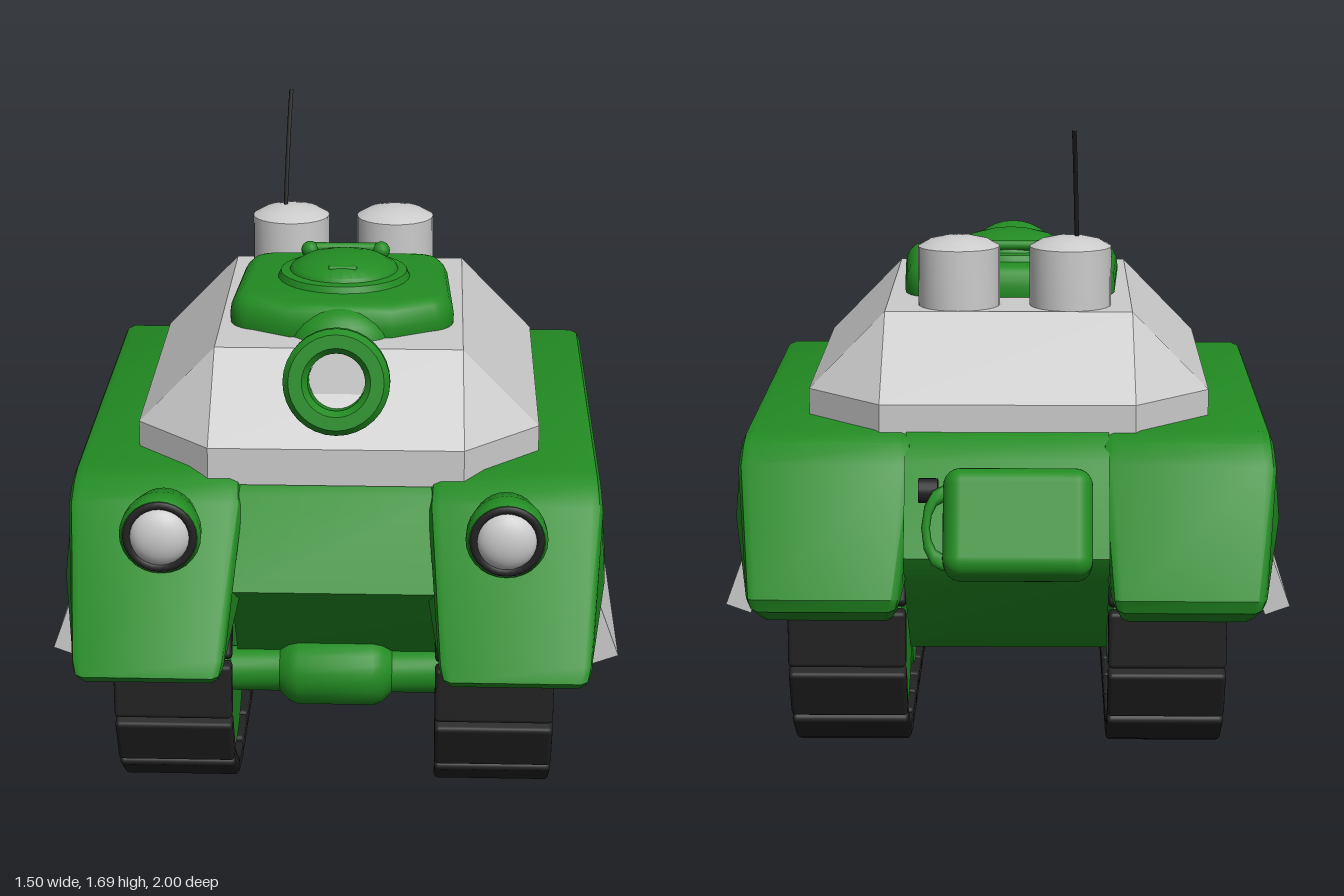
import * as THREE from 'three';
import { toCreasedNormals } from 'three/addons/utils/BufferGeometryUtils.js';
import { RoundedBoxGeometry } from 'three/addons/geometries/RoundedBoxGeometry.js';
import { ConvexGeometry } from 'three/addons/geometries/ConvexGeometry.js';

const paint = (color) => new THREE.MeshStandardMaterial({ color });
const green = paint(0x228b22), black = paint(0x222222), grey = paint(0xcccccc);

const V2 = (pts) => pts.map(([a, b]) => new THREE.Vector2(a, b));
const crease = (g, a = 0.6) => toCreasedNormals(g, a);
const lathe = (pts, n = 32) => crease(new THREE.LatheGeometry(V2(pts), n));

// Side profile given as [z, y], extruded across x and centred on x = 0
function sideExtrude(pts, width, bevel) {
  const g = new THREE.ExtrudeGeometry(new THREE.Shape(V2(pts)), {
    depth: width - 2 * bevel, bevelEnabled: bevel > 0, bevelSize: bevel,
    bevelThickness: bevel, bevelOffset: -bevel, bevelSegments: 2,
  });
  return g.translate(0, 0, bevel - width / 2).rotateY(-Math.PI / 2);
}

export function createModel() {
  const model = new THREE.Group();
  const add = (name, geo, mat, x = 0, y = 0, z = 0, parent = model) => {
    const m = new THREE.Mesh(geo, mat);
    m.name = name;
    m.position.set(x, y, z);
    parent.add(m);
    return m;
  };

  // Hull between the tracks
  add('hull', crease(sideExtrude([
    [0.6, 0.908], [-0.64, 0.908], [-0.73, 0.85], [-0.84, 0.62], [-0.8, 0.55], [-0.5, 0.28],
    [0.5, 0.28], [0.6, 0.36], [0.81, 0.64], [0.68, 0.86],
  ], 0.53, 0)), green);

  // Armoured superstructure: octagonal base rising to a rectangular roof
  const pts = [];
  for (const sx of [-1, 1]) for (const sz of [-1, 1]) {
    for (const y of [0.88, 0.98]) {
      pts.push(new THREE.Vector3(sx * 0.535, y, sz * 0.44), new THREE.Vector3(sx * 0.335, y, sz * 0.648));
    }
    pts.push(new THREE.Vector3(sx * 0.33, 1.19, sz * 0.44));
  }
  add('superstructure', new ConvexGeometry(pts), grey, 0, 0, 0.007);

  // Turret
  const plan = new THREE.Shape();
  plan.moveTo(-0.2, -0.22);
  plan.lineTo(0.2, -0.22);
  plan.quadraticCurveTo(0.28, -0.21, 0.29, -0.12);
  plan.lineTo(0.305, 0.2);
  plan.quadraticCurveTo(0.3, 0.27, 0.24, 0.29);
  plan.lineTo(0.14, 0.35);
  plan.lineTo(-0.14, 0.35);
  plan.lineTo(-0.24, 0.29);
  plan.quadraticCurveTo(-0.3, 0.27, -0.305, 0.2);
  plan.lineTo(-0.29, -0.12);
  plan.quadraticCurveTo(-0.28, -0.21, -0.2, -0.22);
  const turret = new THREE.ExtrudeGeometry(plan, {
    depth: 0.02, bevelSize: 0.045, bevelThickness: 0.06, bevelOffset: -0.045, bevelSegments: 4, curveSegments: 8,
  }).rotateX(Math.PI / 2);
  add('turret', crease(turret, 0.7), green, 0, 1.215, 0);

  // Commander hatch with hinge and grip
  add('hatch', lathe([[0.185, 0], [0.175, 0.022], [0.15, 0.025], [0.145, 0.035], [0.11, 0.055], [0.06, 0.068], [0, 0.072]]),
    green, 0, 1.27, 0.045);
  add('hatchHinge', new THREE.CylinderGeometry(0.015, 0.015, 0.22, 10).rotateZ(Math.PI / 2), green, 0, 1.315, -0.09);
  for (const s of [-1, 1]) add('hingeLug', new THREE.SphereGeometry(0.025, 10, 8), green, s * 0.1, 1.31, -0.085);
  add('hatchGrip', new RoundedBoxGeometry(0.08, 0.02, 0.03, 2, 0.008), green, 0, 1.32, 0.14);

  // Stubby cannon, tilted slightly up
  const cannon = new THREE.Group();
  cannon.name = 'cannon';
  cannon.position.set(0, 1.155, 0.63);
  cannon.rotation.x = Math.PI / 2 - 0.23;
  model.add(cannon);
  add('barrel', lathe([[0.115, -0.32], [0.112, -0.22], [0.14, -0.06], [0.14, -0.02], [0.125, 0], [0.09, 0], [0.075, -0.02], [0.075, -0.16]]),
    green, 0, 0, 0, cannon);
  add('boreEnd', new THREE.CircleGeometry(0.08, 8).rotateX(-Math.PI / 2), grey, 0, -0.1, 0, cannon);
  add('cannonMount', new THREE.SphereGeometry(0.14, 20, 14).scale(1, 0.75, 0.6), green, 0, 1.16, 0.32);

  // Roof canisters and whip antenna
  for (const x of [-0.165, 0.135]) {
    add('canister', lathe([[0.11, 1.17], [0.11, 1.35], [0.08, 1.367], [0.04, 1.376], [0, 1.38]], 24), grey, x, 0, -0.32);
  }
  const whip = new THREE.QuadraticBezierCurve3(
    new THREE.Vector3(-0.182, 1.36, -0.32), new THREE.Vector3(-0.178, 1.54, -0.38), new THREE.Vector3(-0.172, 1.68, -0.48));
  add('antenna', new THREE.TubeGeometry(whip, 12, 0.006, 6), black);

  // Stowage can tilted against the rear plate
  const can = new THREE.Group();
  can.name = 'stowageCan';
  can.position.set(-0.03, 0.722, -0.885);
  can.rotation.x = 0.44;
  model.add(can);
  add('canBody', new RoundedBoxGeometry(0.38, 0.28, 0.15, 4, 0.045), green, 0, 0, 0, can);
  add('canHandle', new THREE.TorusGeometry(0.055, 0.014, 6, 12).scale(0.8, 1.6, 1), green, 0.19, -0.01, -0.01, can);
  add('canCap', new THREE.CylinderGeometry(0.032, 0.032, 0.05, 16).rotateZ(Math.PI / 2), black, 0.2, 0.795, -0.82);
  add('canBracket', new THREE.BoxGeometry(0.36, 0.2, 0.1), green, -0.03, 0.72, -0.79);

  // Transmission axle between the front wheels
  add('axle', lathe([[0, -0.28], [0.06, -0.28], [0.06, -0.15], [0.085, -0.125], [0.095, -0.1], [0.095, 0.1],
    [0.085, 0.125], [0.06, 0.15], [0.06, 0.28], [0, 0.28]], 24).rotateZ(Math.PI / 2), green, 0, 0.34, 0.62);

  // Fender profile; the flaps narrow toward their lower ends
  const fender = sideExtrude([
    [1.0, 0.48], [0.98, 0.52], [0.71, 0.85], [0.66, 0.895], [0.6, 0.91], [-0.63, 0.91], [-0.69, 0.89], [-0.73, 0.84],
    [-0.88, 0.52], [-0.87, 0.485], [-0.74, 0.425], [-0.71, 0.6], [-0.66, 0.66], [-0.62, 0.67], [0.62, 0.67], [0.72, 0.63], [0.9, 0.46], [0.97, 0.455],
  ], 0.48, 0.03);
  const p = fender.attributes.position;
  for (let i = 0; i < p.count; i++) {
    const low = Math.max(0, 0.68 - p.getY(i)), high = Math.max(0, p.getY(i) - 0.68);
    p.setX(i, p.getX(i) * (1 - 1.05 * low - 0.35 * high));
  }
  const fenderGeo = crease(fender, 0.7);

  // Wheels and one track link
  const wheelGeo = lathe([[0, -0.14], [0.3, -0.14], [0.3, 0.125], [0.285, 0.14], [0.25, 0.14], [0.24, 0.115], [0.2, 0.075],
    [0.15, 0.065], [0.12, 0.08], [0.085, 0.085], [0.075, 0.125], [0.06, 0.135], [0, 0.135]], 40);
  const rollerGeo = lathe([[0, -0.14], [0.15, -0.14], [0.165, -0.12], [0.165, 0.1], [0.15, 0.125], [0.12, 0.13], [0.1, 0.11],
    [0.075, 0.11], [0.06, 0.13], [0, 0.14]], 32);
  const boltGeo = new THREE.CylinderGeometry(0.02, 0.02, 0.06, 10);
  const linkGeo = new RoundedBoxGeometry(0.31, 0.052, 0.153, 2, 0.012);
  const zF = 0.48, zR = -0.37, yW = 0.37, R = 0.343;
  const straight = zF - zR, arc = Math.PI * R, loop = 2 * (straight + arc), links = 24;

  for (const s of [-1, 1]) {
    const side = s > 0 ? 'left' : 'right';
    add(side + 'Fender', fenderGeo, green, s * 0.47, 0, 0);
    add(side + 'SkirtPlate', new THREE.BoxGeometry(0.07, 0.28, 1.335), grey, s * 0.667, 0.553, 0.045).rotation.z = s * 0.35;

    // Running gear
    const gear = new THREE.Group();
    gear.name = side + 'RunningGear';
    gear.position.x = s * 0.42;
    model.add(gear);
    for (const z of [zF, zR]) {
      const wheel = add('wheel', wheelGeo, green, 0, yW, z, gear);
      wheel.rotation.z = -s * Math.PI / 2;
      for (let k = 0; k < 4; k++) {
        const a = k * Math.PI / 2;
        add('wheelBolt', boltGeo, green, 0.1 * Math.cos(a), 0.1, 0.1 * Math.sin(a), wheel);
      }
    }
    add('roller', rollerGeo, green, 0, 0.215, 0.06, gear).rotation.z = -s * Math.PI / 2;

    // Track links walked around the two wheels, starting at bottom centre
    for (let i = 0; i < links; i++) {
      let d = (i * loop / links + straight / 2) % loop;
      const back = d >= loop / 2;
      if (back) d -= loop / 2;
      const a = Math.max(0, d - straight) / R;
      let z = (zR + Math.min(d, straight)) + R * Math.sin(a), y = yW - R * Math.cos(a);
      if (back) { z = zF + zR - z; y = 2 * yW - y; }
      add('trackLink', linkGeo, black, 0, y, z, gear).rotation.x = -a - (back ? Math.PI : 0);
    }

    // Headlight
    const lamp = new THREE.Group();
    lamp.name = side + 'Headlight';
    lamp.position.set(s * 0.445, 0.805, 0.82);
    model.add(lamp);
    add('lampHousing', lathe([[0, -0.17], [0.05, -0.155], [0.085, -0.11], [0.104, -0.03], [0.106, 0.01], [0.098, 0.025], [0.085, 0.02]], 28)
      .rotateX(Math.PI / 2), green, 0, 0, 0, lamp);
    add('lampRim', new THREE.TorusGeometry(0.086, 0.012, 8, 28), black, 0, 0, 0.02, lamp);
    add('lampLens', new THREE.SphereGeometry(0.08, 24, 16).scale(1, 1, 0.6), grey, 0, 0, 0.012, lamp);
  }
  return model;
}
